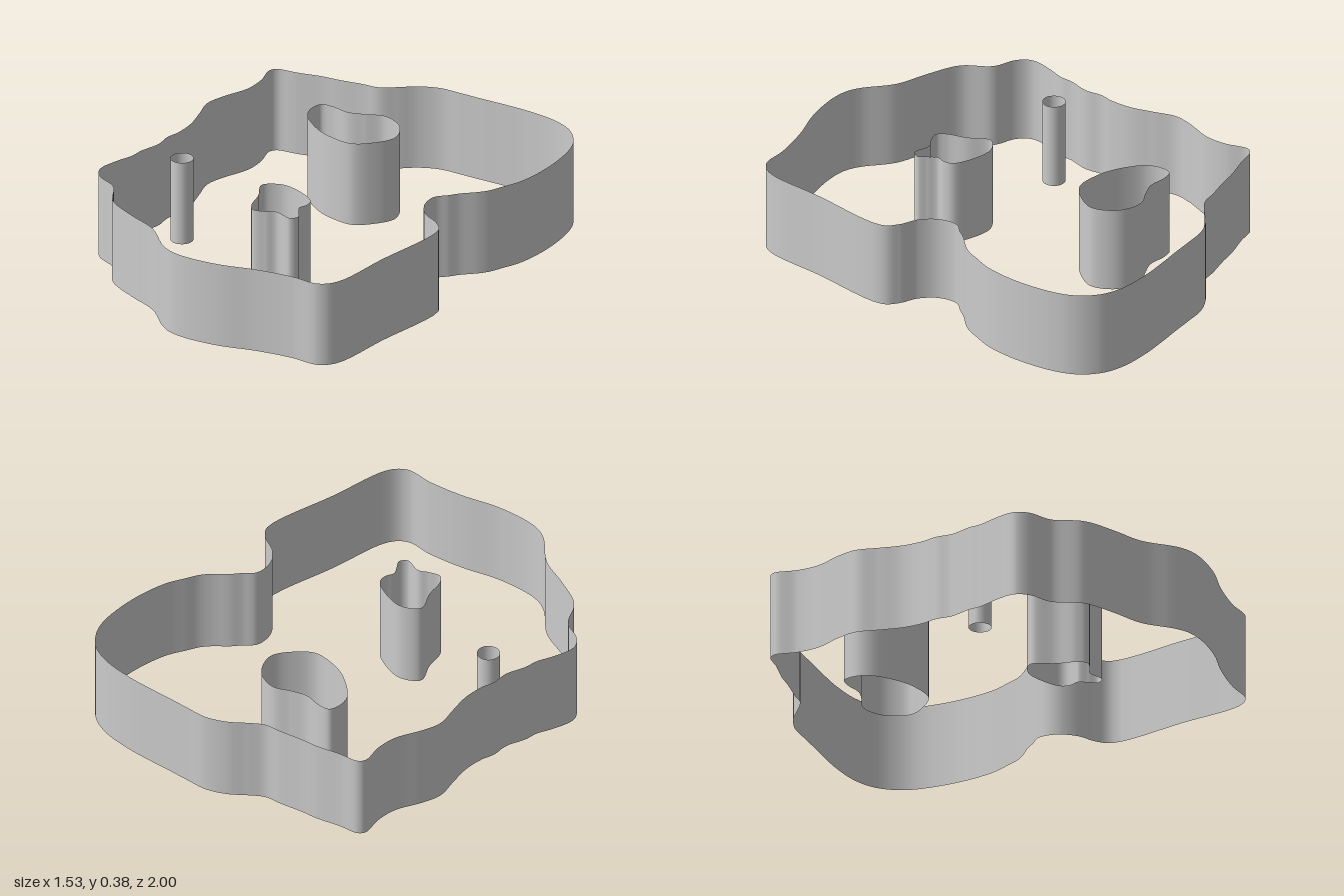
import * as THREE from 'three';

const HEIGHT = 0.385;
const material = new THREE.MeshStandardMaterial({ color: 0xcccccc, side: THREE.DoubleSide });

// Outlines as x, z pairs.
// Front edge, left side, notch, rounded back lobe, wavy right side.
const OUTER = [
  -0.722, 0.583, -0.682, 0.623, -0.583, 0.66, -0.496, 0.77, -0.35, 0.828, -0.2, 0.872,
  -0.07, 0.967, -0.005, 0.993, 0.078, 0.996, 0.23, 0.966, 0.39, 0.904, 0.55, 0.862, 0.675, 0.847,
  0.728, 0.784, 0.744, 0.495, 0.758, 0.13,
  0.705, 0.078, 0.622, 0.043, 0.562, -0.021, 0.546, -0.105, 0.585, -0.16, 0.611, -0.2,
  0.665, -0.262, 0.692, -0.305, 0.711, -0.36, 0.742, -0.46, 0.745, -0.662, 0.695, -0.862,
  0.61, -0.957, 0.506, -0.995,
  0.355, -0.998, 0.222, -0.982, 0.121, -0.966, 0.021, -0.952, -0.08, -0.935, -0.163, -0.89,
  -0.228, -0.828, -0.288, -0.778, -0.362, -0.76, -0.465, -0.729, -0.541, -0.711,
  -0.649, -0.672, -0.735, -0.647, -0.752, -0.615,
  -0.722, -0.521, -0.716, -0.421, -0.752, -0.296, -0.763, -0.207, -0.729, -0.11, -0.695, -0.009,
  -0.686, 0.09, -0.694, 0.151, -0.682, 0.228, -0.7, 0.323, -0.7, 0.383, -0.718, 0.453, -0.732, 0.542,
];

const FRONT_CELL = [
  0.188, 0.365, 0.163, 0.329, 0.172, 0.287, 0.157, 0.245, 0.038, 0.2, -0.037, 0.203,
  -0.097, 0.256, -0.045, 0.348, -0.013, 0.433, 0.019, 0.465, 0.072, 0.446, 0.113, 0.42,
  0.192, 0.432, 0.213, 0.4,
];

const BACK_CELL = [
  -0.011, -0.56, -0.102, -0.58, -0.177, -0.541, -0.245, -0.512, -0.33, -0.515, -0.38, -0.5,
  -0.388, -0.446, -0.36, -0.382, -0.245, -0.307, -0.153, -0.283, -0.045, -0.288,
  0.023, -0.353, 0.064, -0.438, 0.041, -0.508,
];

// An open tube whose rings follow a smooth closed outline.
function wall(name, flat, segments) {
  const points = [];
  for (let i = 0; i < flat.length; i += 2) points.push(new THREE.Vector3(flat[i], 0, flat[i + 1]));
  // Same turning direction as the cylinder that gets reshaped
  if (THREE.ShapeUtils.area(points.map((p) => new THREE.Vector2(p.x, -p.z))) < 0) points.reverse();
  const curve = new THREE.CatmullRomCurve3(points, true, 'centripetal');

  const geometry = new THREE.CylinderGeometry(1, 1, HEIGHT, segments, 1, true);
  const { position, normal } = geometry.attributes;
  for (let i = 0; i < position.count; i++) {
    const t = (i % (segments + 1)) / segments;
    const p = curve.getPoint(t);
    const d = curve.getTangent(t);
    position.setXYZ(i, p.x, position.getY(i) + HEIGHT / 2, p.z);
    normal.setXYZ(i, -d.z, 0, d.x);
  }
  const mesh = new THREE.Mesh(geometry, material);
  mesh.name = name;
  return mesh;
}

export function createModel() {
  const group = new THREE.Group();
  group.name = 'outlineCutter';
  group.add(wall('outerWall', OUTER, 342));
  group.add(wall('frontInnerWall', FRONT_CELL, 112));
  group.add(wall('backInnerWall', BACK_CELL, 112));

  // Small round tube near the wavy side
  const tube = new THREE.Mesh(new THREE.CylinderGeometry(0.049, 0.049, HEIGHT, 32, 1, true), material);
  tube.position.set(-0.522, HEIGHT / 2, 0.268);
  tube.name = 'smallTube';
  group.add(tube);
  return group;
}
